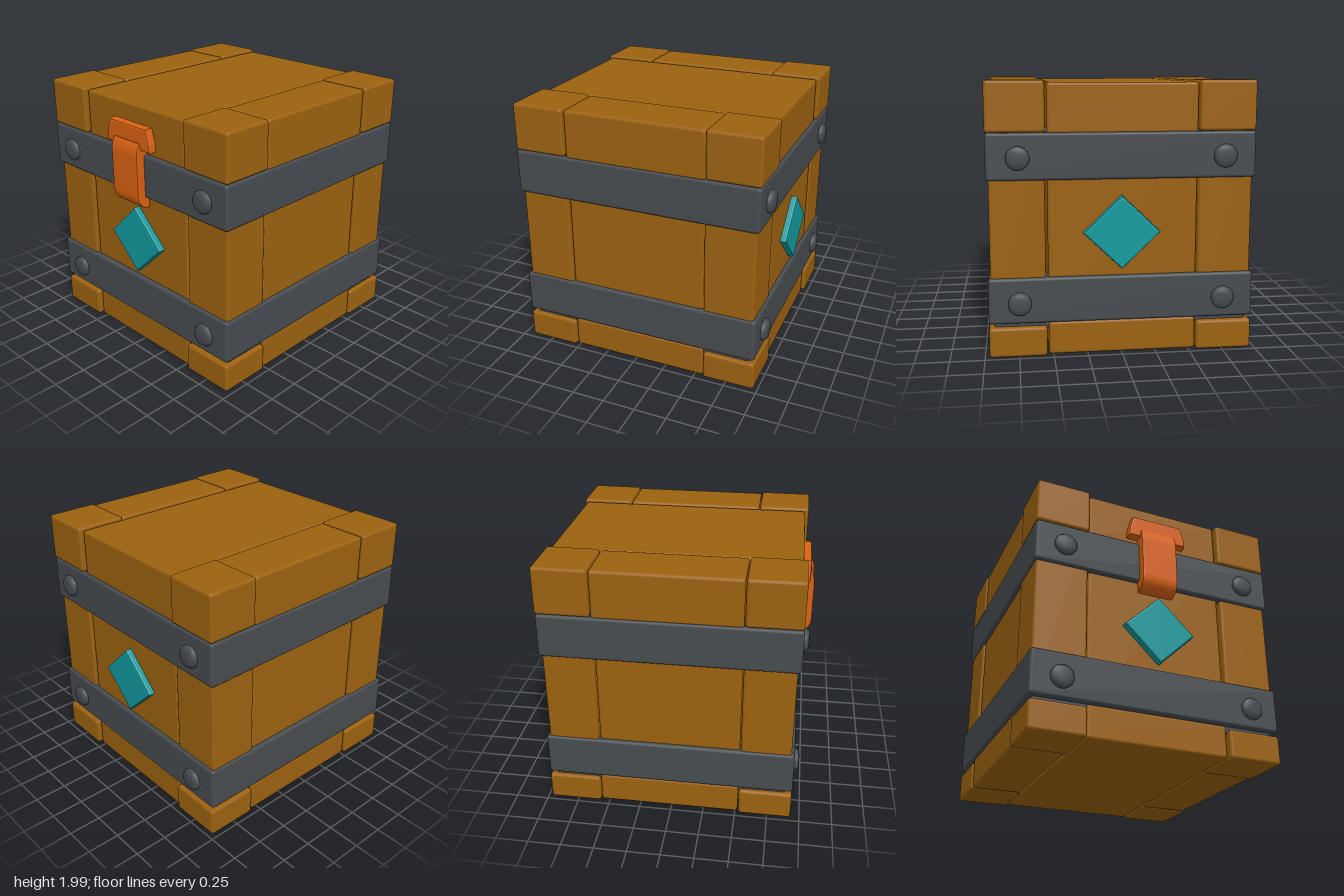
import * as THREE from 'three';
import { RoundedBoxGeometry } from 'three/addons/geometries/RoundedBoxGeometry.js';

export function createModel() {
  const mat = (name, color) => {
    const m = new THREE.MeshStandardMaterial({ color });
    m.name = name;
    return m;
  };
  const wood = mat('wood', 0x9c6210);
  const metal = mat('iron', 0x474c50);
  const orange = mat('latch orange', 0xdb6212);
  const teal = mat('gem teal', 0x109a9e);
  const crate = new THREE.Group();
  crate.name = 'crate';

  const add = (name, geo, material, parent = crate) => {
    const mesh = new THREE.Mesh(geo, material);
    mesh.name = name;
    parent.add(mesh);
    return mesh;
  };
  // Rounded block given by its extents
  const block = (name, material, [x0, x1], [y0, y1], [z0, z1], r = 0.022) => {
    const geo = new RoundedBoxGeometry(x1 - x0, y1 - y0, z1 - z0, 2, r);
    geo.translate((x0 + x1) / 2, (y0 + y1) / 2, (z0 + z1) / 2);
    return add(name, geo, material);
  };

  // Lid and base: centre plank, side planks and corner blocks
  const tiers = [
    { name: 'lid', corner: [1.64, 2.0], centre: [1.625, 1.985], side: [1.625, 1.993] },
    { name: 'base', corner: [0.01, 0.23], centre: [0.012, 0.26], side: [0.016, 0.26] },
  ];
  const columns = [[-0.97, -0.555], [0.547, 0.967]];
  const sides = [[-0.958, -0.56], [0.552, 0.955]];
  const ends = [[-0.97, -0.568], [0.525, 0.93]];
  for (const t of tiers) {
    block(t.name + 'CentrePlank', wood, [-0.55, 0.535], t.centre, [-0.945, 0.9]);
    for (const i of [0, 1]) {
      block(t.name + 'SidePlank', wood, sides[i], t.side, [-0.563, 0.518]);
      for (const z of ends) block(t.name + 'Corner', wood, columns[i], t.corner, z);
    }
  }

  // Body: centre panel, side panels and corner posts
  block('bodyCentrePanel', wood, [-0.55, 0.535], [0.27, 1.63], [-0.935, 0.89]);
  for (const i of [0, 1]) {
    const panel = i ? [0.552, 0.937] : [-0.94, -0.56];
    const post = i ? [0.552, 0.95] : [-0.955, -0.557];
    block('bodySidePanel', wood, panel, [0.27, 1.63], [-0.552, 0.52]);
    block('cornerPost', wood, post, [0.27, 1.63], [-0.945, -0.56]);
    block('cornerPost', wood, post, [0.27, 1.63], [0.527, 0.908]);
  }

  // Iron bands around the crate, with an inset strip behind each seam
  block('lowerBand', metal, [-0.972, 0.967], [0.26, 0.597], [-0.967, 0.932]);
  block('upperBand', metal, [-0.972, 0.967], [1.302, 1.638], [-0.967, 0.932]);
  block('lowerSeam', metal, [-0.935, 0.93], [0.2, 0.3], [-0.925, 0.885]);
  block('upperSeam', metal, [-0.935, 0.93], [1.6, 1.67], [-0.925, 0.885]);

  // Domed rivets on the front and back of the bands
  const rivet = new THREE.LatheGeometry(
    [[0.085, -0.01], [0.085, 0.015], [0.07, 0.035], [0.035, 0.04], [0, 0.041]]
      .map(([r, h]) => new THREE.Vector2(r, h)), 20);
  for (const x of [-0.745, 0.742]) for (const y of [0.41, 1.462]) for (const s of [1, -1]) {
    const r = add('rivet', rivet, metal);
    r.position.set(x, y, s > 0 ? 0.932 : -0.967);
    r.rotation.x = s * Math.PI / 2;
  }

  // Bevelled diamond gems, front and back
  const diamond = new THREE.Shape([[0, -0.25], [0.26, 0], [0, 0.25], [-0.26, 0]]
    .map(([x, y]) => new THREE.Vector2(x, y)));
  const gem = new THREE.ExtrudeGeometry(diamond, {
    depth: 0.04, bevelEnabled: true, bevelThickness: 0.015, bevelSize: 0.014, bevelSegments: 2,
  });
  for (const s of [1, -1]) {
    const g = add(s > 0 ? 'frontGem' : 'backGem', gem, teal);
    g.position.set(0.003, 0.917, s > 0 ? 0.888 : -0.93);
    if (s < 0) g.rotation.y = Math.PI;
  }

  // Latch: tapered plate on the lid
  const latch = new THREE.Group();
  latch.name = 'latch';
  crate.add(latch);
  const plate = new THREE.Shape([[-0.23, 1.692], [0.215, 1.692], [0.212, 1.74], [0.185, 1.836], [-0.2, 1.836], [-0.227, 1.74]]
    .map(([x, y]) => new THREE.Vector2(x, y)));
  const plateGeo = new THREE.ExtrudeGeometry(plate, {
    depth: 0.06, bevelEnabled: true, bevelThickness: 0.015, bevelSize: 0.014, bevelSegments: 2,
  });
  plateGeo.translate(0, 0, 0.89);
  add('latchPlate', plateGeo, orange, latch);

  // Latch strap: side profile (z, y) swept across x
  const profile = new THREE.Shape();
  profile.moveTo(0.9, 1.72);
  profile.lineTo(0.965, 1.72);
  profile.quadraticCurveTo(0.988, 1.69, 0.988, 1.62);
  profile.lineTo(0.988, 1.33);
  profile.quadraticCurveTo(0.985, 1.25, 0.915, 1.232);
  profile.lineTo(0.9, 1.232);
  const strap = new THREE.ExtrudeGeometry(profile, {
    depth: 0.264, bevelEnabled: true, bevelThickness: 0.012, bevelSize: 0.012, bevelSegments: 2, curveSegments: 6,
  });
  strap.rotateY(-Math.PI / 2); // profile z axis now along +z, sweep along -x
  strap.translate(0.122, 0, 0);
  add('latchStrap', strap, orange, latch);

  return crate;
}
